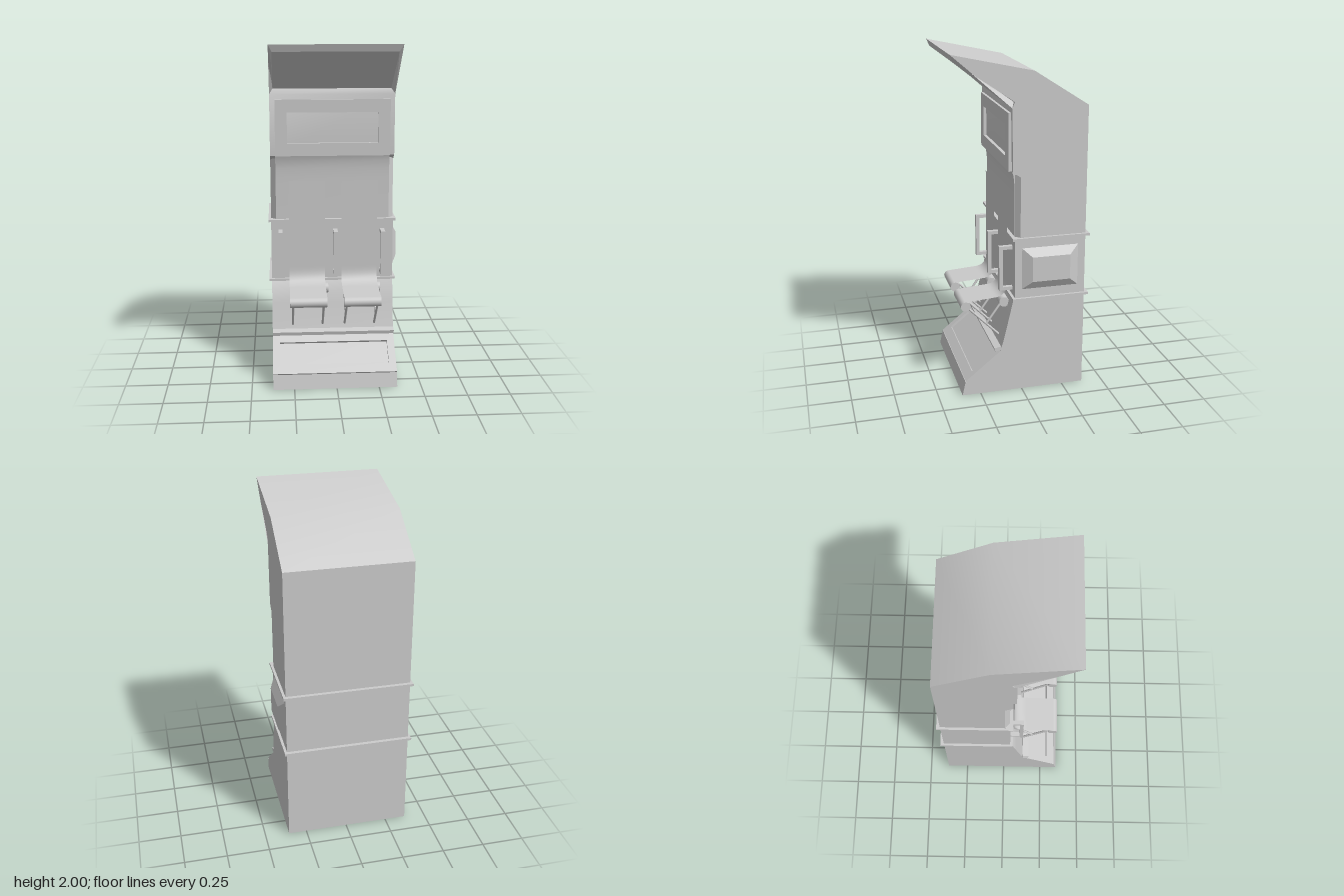
import * as THREE from 'three';
import { toCreasedNormals } from 'three/addons/utils/BufferGeometryUtils.js';

const L = -0.375, R = 0.357, MID = (L + R) / 2, W = R - L;

export function createModel() {
  const root = new THREE.Group();
  const mat = new THREE.MeshStandardMaterial({ color: 0xcccccc });
  const thin = new THREE.MeshStandardMaterial({ color: 0xcccccc, side: THREE.DoubleSide });
  const add = (name, geo, x = 0, y = 0, z = 0, m = mat) => {
    const mesh = new THREE.Mesh(geo, m);
    mesh.name = name;
    mesh.position.set(x, y, z);
    root.add(mesh);
    return mesh;
  };
  const box = (name, w, h, d, x, y, z) => add(name, new THREE.BoxGeometry(w, h, d), x, y, z);
  const shapeOf = (pts) => new THREE.Shape(pts.map((p) => new THREE.Vector2(...p)));

  // Extrude a [z, y] side profile across x from x0 to x1
  const sideExtrude = (pts, x0, x1) => {
    const g = new THREE.ExtrudeGeometry(shapeOf(pts), { depth: x1 - x0, bevelEnabled: false });
    g.rotateY(-Math.PI / 2).translate(x1, 0, 0);
    return toCreasedNormals(g, 0.5);
  };
  // Flat panel with a rectangular opening; its front lies on local z = 0
  const frame = (w, h, hw, hh, d) => {
    const rect = (a, b) => [[-a / 2, -b / 2], [a / 2, -b / 2], [a / 2, b / 2], [-a / 2, b / 2]];
    const s = shapeOf(rect(w, h));
    s.holes.push(shapeOf(rect(hw, hh)));
    return new THREE.ExtrudeGeometry(s, { depth: d, bevelEnabled: false }).translate(0, 0, -d);
  };
  // Sloped ring between two four-corner loops, closed by the inner face
  const loft = (outer, inner) => {
    const v = [];
    const quad = (a, b, c, d) => v.push(...a, ...b, ...c, ...a, ...c, ...d);
    for (let i = 0; i < 4; i++) {
      const j = (i + 1) % 4;
      quad(outer[i], outer[j], inner[j], inner[i]);
    }
    quad(...inner);
    const g = new THREE.BufferGeometry();
    g.setAttribute('position', new THREE.Float32BufferAttribute(v, 3));
    g.computeVertexNormals();
    return g;
  };
  // Round bar between two points
  const bar = (name, a, b, r, seg = 16) => {
    const p = new THREE.Vector3(...a), q = new THREE.Vector3(...b);
    const mesh = add(name, new THREE.CylinderGeometry(r, r, p.distanceTo(q), seg));
    mesh.position.copy(p).lerp(q, 0.5);
    mesh.quaternion.setFromUnitVectors(new THREE.Vector3(0, 1, 0), q.sub(p).normalize());
  };

  // Cabinet body
  add('cabinetBody', sideExtrude([
    [-0.378, 0], [0.36, 0], [0.341, 0.085], [0.331, 0.078], [0.121, 0.248], [0.13, 0.26],
    [0.112, 0.32], [0.083, 0.44], [0.053, 0.57], [0.042, 0.585], [0.042, 0.95], [0.01, 0.955],
    [0.01, 1.31], [0.055, 1.34], [0.06, 1.7], [0.045, 1.735], [0.267, 1.885], [0.4, 2],
    [-0.065, 1.9], [-0.378, 1.7],
  ], L, R));

  // Hollow underside of the hood
  add('hoodUnderside', loft(
    [[L, 1.7, 0.06], [R, 1.7, 0.06], [R, 2, 0.4], [L, 2, 0.4]],
    [[-0.355, 1.73, 0.045], [0.335, 1.73, 0.045], [0.335, 1.96, 0.385], [-0.355, 1.96, 0.385]],
  ), 0, 0, 0, thin);

  // Upper display with a sunken window
  add('displayFrame', frame(0.675, 0.33, 0.535, 0.18, 0.025), -0.0075, 1.505, 0.075);

  // Middle front: bevelled side edges and a panel curving out at the top
  const plan = shapeOf([[L, -0.01], [-0.345, -0.037], [0.33, -0.037], [R, -0.01]]);
  const bevel = new THREE.ExtrudeGeometry(plan, { depth: 0.365, bevelEnabled: false });
  add('bevelledFront', bevel.rotateX(-Math.PI / 2), 0, 0.955, 0);
  add('curvedFront', sideExtrude([
    [0, 0.955], [0.038, 0.955], [0.038, 1.2], [0.04, 1.26], [0.045, 1.31], [0.055, 1.34], [0, 1.34],
  ], -0.345, 0.33));

  // Trim bands round the cabinet
  for (const y of [0.58, 0.947]) box('trimBand', 0.762, 0.014, 0.458, MID, y, -0.171);

  // Raised panel on the left side
  add('sidePanel', loft(
    [[R, 0.64, 0], [R, 0.64, -0.335], [R, 0.89, -0.335], [R, 0.89, 0]],
    [[0.388, 0.69, -0.055], [0.388, 0.69, -0.28], [0.388, 0.84, -0.28], [0.388, 0.84, -0.055]],
  ));

  // Sloped kick panel and foot ledge
  const kick = add('kickPanel', frame(W, 0.27, 0.645, 0.15, 0.017), MID, 0.175, 0.235);
  kick.rotation.x = -0.89;
  box('footLedge', W, 0.022, 0.04, MID, 0.275, 0.143).rotation.x = 0.25;

  // Grab handles
  for (const x of [-0.32, 0.008, 0.29]) {
    box('handleGrip', 0.026, 0.27, 0.022, x, 0.755, 0.111);
    for (const y of [0.63, 0.88]) box('handleArm', 0.026, 0.02, 0.07, x, y, 0.07);
  }

  // Seats: fabric sling, two rollers and crossed legs
  const sling = new THREE.CurvePath();
  const P = (z, y) => new THREE.Vector3(0, y, z);
  sling.add(new THREE.LineCurve3(P(0.065, 1.19), P(0.065, 0.65)));
  sling.add(new THREE.QuadraticBezierCurve3(P(0.065, 0.65), P(0.065, 0.57), P(0.13, 0.562)));
  sling.add(new THREE.LineCurve3(P(0.13, 0.562), P(0.315, 0.549)));
  const path = sling.getSpacedPoints(40);
  for (const cx of [-0.162, 0.152]) {
    const g = new THREE.PlaneGeometry(0.215, 1, 1, 40);
    const pos = g.attributes.position;
    for (let i = 0; i < pos.count; i++) {
      const p = path[Math.floor(i / 2)];
      pos.setXYZ(i, pos.getX(i), p.y, p.z);
    }
    g.computeVertexNormals();
    add('seatSling', g, cx, 0, 0, thin);
    bar('frontRoller', [cx - 0.108, 0.52, 0.313], [cx + 0.108, 0.52, 0.313], 0.029, 20);
    bar('backRoller', [cx - 0.09, 0.535, 0.086], [cx + 0.125, 0.535, 0.086], 0.03, 20);
    for (const s of [-1, 1]) {
      const x = cx + s * 0.09;
      bar('longLeg', [x, 0.52, 0.313], [x, 0.315, 0.11], 0.007, 10);
      bar('shortLeg', [x, 0.535, 0.086], [x, 0.392, 0.188], 0.007, 10);
    }
  }
  return root;
}
